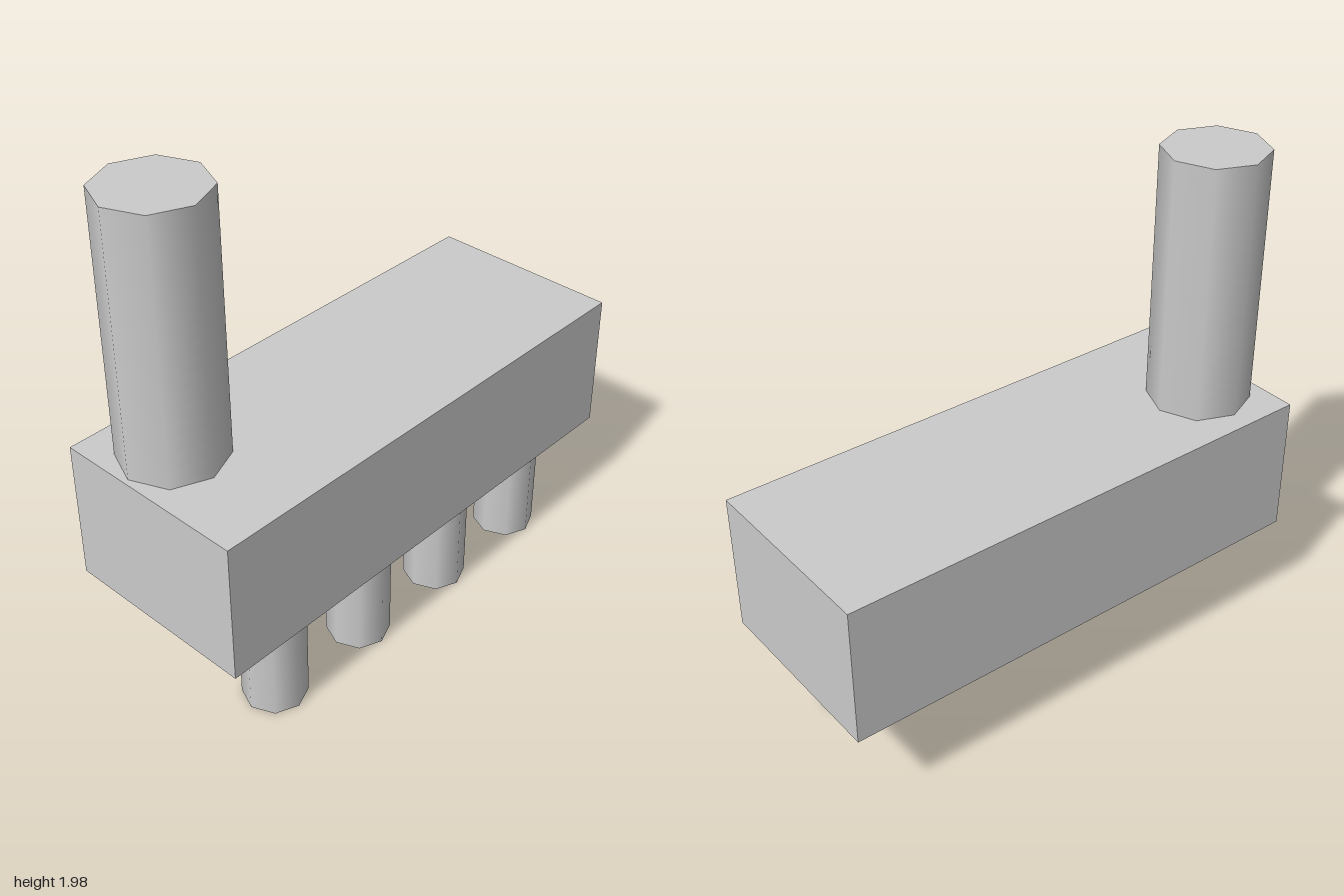
import * as THREE from 'three';

export function createModel() {
  const model = new THREE.Group();
  const material = new THREE.MeshStandardMaterial({ color: 0xcccccc });

  const add = (name, geometry, x, y, z) => {
    const mesh = new THREE.Mesh(geometry, material);
    mesh.name = name;
    mesh.position.set(x, y, z);
    model.add(mesh);
  };
  // Smooth-shaded eight-sided cylinder standing between two heights
  const addCylinder = (name, radius, y0, y1, x, z) =>
    add(name, new THREE.CylinderGeometry(radius, radius, y1 - y0, 8), x, (y0 + y1) / 2, z);

  const bottom = 0.415, top = 0.97;

  // Main block
  add('body', new THREE.BoxGeometry(2, top - bottom, 0.78), 0, (bottom + top) / 2, 0);

  // Tall post on the right end
  addCylinder('post', 0.2, top, 1.98, -0.78, -0.11);

  // Row of four pegs below the front half
  for (let i = 0; i < 4; i++) {
    addCylinder(`peg${i + 1}`, 0.122, 0, bottom, -0.67 + i * 0.445, 0.225);
  }

  return model;
}
